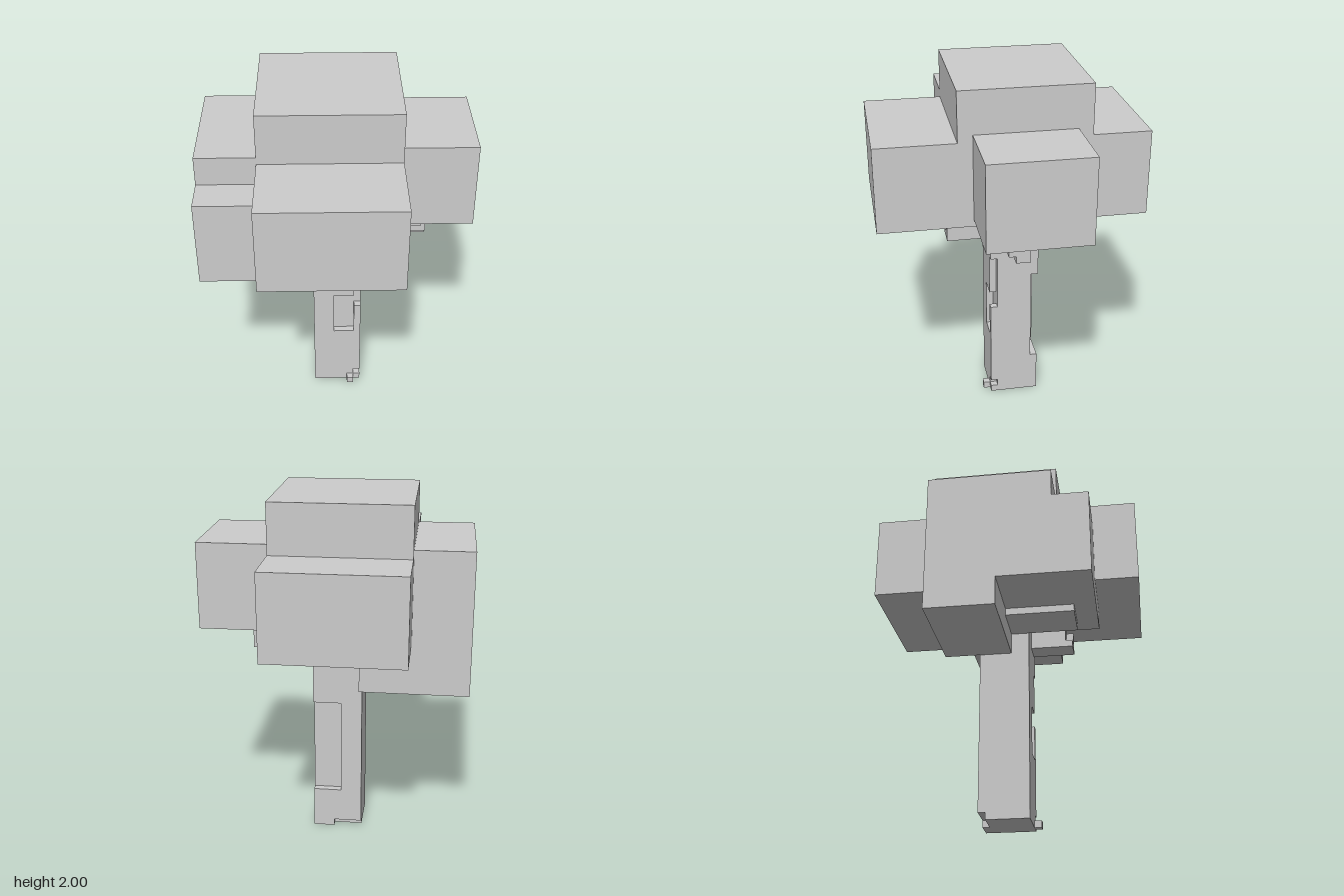
import * as THREE from 'three';

const material = new THREE.MeshStandardMaterial({ color: 0xcccccc, flatShading: true });

export function createModel() {
  const tree = new THREE.Group();
  tree.name = 'blockTree';

  // Box given by its lower and upper corners
  function block(parent, name, [x0, y0, z0], [x1, y1, z1]) {
    const mesh = new THREE.Mesh(new THREE.BoxGeometry(x1 - x0, y1 - y0, z1 - z0), material);
    mesh.position.set((x0 + x1) / 2, (y0 + y1) / 2, (z0 + z1) / 2);
    mesh.name = name;
    parent.add(mesh);
  }

  // Outline pushed straight along z
  function slab(points, depth) {
    const shape = new THREE.Shape(points.map(([x, y]) => new THREE.Vector2(x, y)));
    return new THREE.ExtrudeGeometry(shape, { depth, bevelEnabled: false });
  }

  function group(name) {
    const g = new THREE.Group();
    g.name = name;
    tree.add(g);
    return g;
  }

  // Trunk: solid core with a grooved bark slab on front and back
  const trunk = group('trunk');
  block(trunk, 'trunkCore', [-0.14, 0, -0.14], [0.14, 1.24, 0.06]);

  const frontBark = new THREE.Mesh(slab([
    [-0.14, 0], [0.14, 0], [0.14, 0.04], [0.1, 0.04], [0.1, 0.08], [0.14, 0.08],
    [0.14, 0.6], [0.1, 0.6], [0.1, 0.4], [-0.02, 0.4], [-0.02, 0.68], [0.1, 0.68],
    [0.1, 0.92], [0.14, 0.92], [0.14, 1.24], [-0.14, 1.24],
  ], 0.04), material);
  frontBark.position.z = 0.06;
  frontBark.name = 'frontBark';

  const backBark = new THREE.Mesh(slab([
    [0.02, 0], [0.14, 0], [0.14, 0.24], [-0.02, 0.24], [-0.02, 0.8], [0.14, 0.8],
    [0.14, 1.24], [-0.14, 1.24], [-0.14, 0.04], [0.02, 0.04],
  ], 0.04), material);
  backBark.position.z = -0.18;
  backBark.name = 'backBark';
  trunk.add(frontBark, backBark);
  block(trunk, 'rootNub', [0.06, 0, 0.1], [0.1, 0.04, 0.14]);

  // Canopy: tall centre with a leaf block on each side
  const canopy = group('canopy');
  block(canopy, 'centreLeaves', [-0.42, 1.24, -0.42], [0.34, 2, 0.3]);
  block(canopy, 'frontLeaves', [-0.42, 1.24, 0.3], [0.34, 1.72, 0.74]);
  block(canopy, 'backLeaves', [-0.42, 1.24, -0.74], [0.34, 1.72, -0.42]);
  block(canopy, 'leftLeaves', [0.34, 1.28, -0.34], [0.74, 1.76, 0.22]);

  // Stepped right leaf block, outlined in (-z, y) and turned to run along x
  const rightLeaves = new THREE.Mesh(slab([
    [-0.5, 1.12], [0, 1.12], [0, 0.96], [0.38, 0.96],
    [0.38, 1.76], [-0.3, 1.76], [-0.3, 1.6], [-0.5, 1.6],
  ], 0.32), material);
  rightLeaves.rotation.y = Math.PI / 2;
  rightLeaves.position.x = -0.74;
  rightLeaves.name = 'rightLeaves';
  canopy.add(rightLeaves);
  block(canopy, 'rightLeavesUnderBack', [-0.42, 0.96, -0.38], [-0.14, 1.24, 0]);
  block(canopy, 'rightLeavesUnderFront', [-0.42, 1.12, 0], [-0.06, 1.24, 0.5]);

  // Branches joining trunk and canopy
  const branches = group('branches');
  block(branches, 'rightBranch', [-0.38, 1.08, 0], [-0.14, 1.12, 0.38]);
  block(branches, 'frontBranchBase', [-0.02, 1.04, 0.1], [0.1, 1.08, 0.34]);
  block(branches, 'frontBranchSide', [0.06, 1.08, 0.1], [0.1, 1.16, 0.34]);
  block(branches, 'frontBranchUpright', [-0.02, 1.08, 0.1], [0.06, 1.24, 0.3]);
  block(branches, 'leftBranchBeam', [0.14, 1.08, -0.06], [0.5, 1.2, 0.02]);
  block(branches, 'leftBranchFront', [0.22, 1.12, 0.02], [0.5, 1.28, 0.06]);
  block(branches, 'leftBranchUpright', [0.38, 1.2, -0.1], [0.5, 1.28, 0.02]);
  block(branches, 'leftBranchTwig', [0.3, 1.24, 0.06], [0.46, 1.28, 0.18]);
  block(branches, 'backBranch', [-0.12, 1.2, -0.46], [-0.02, 1.24, -0.18]);

  return tree;
}
